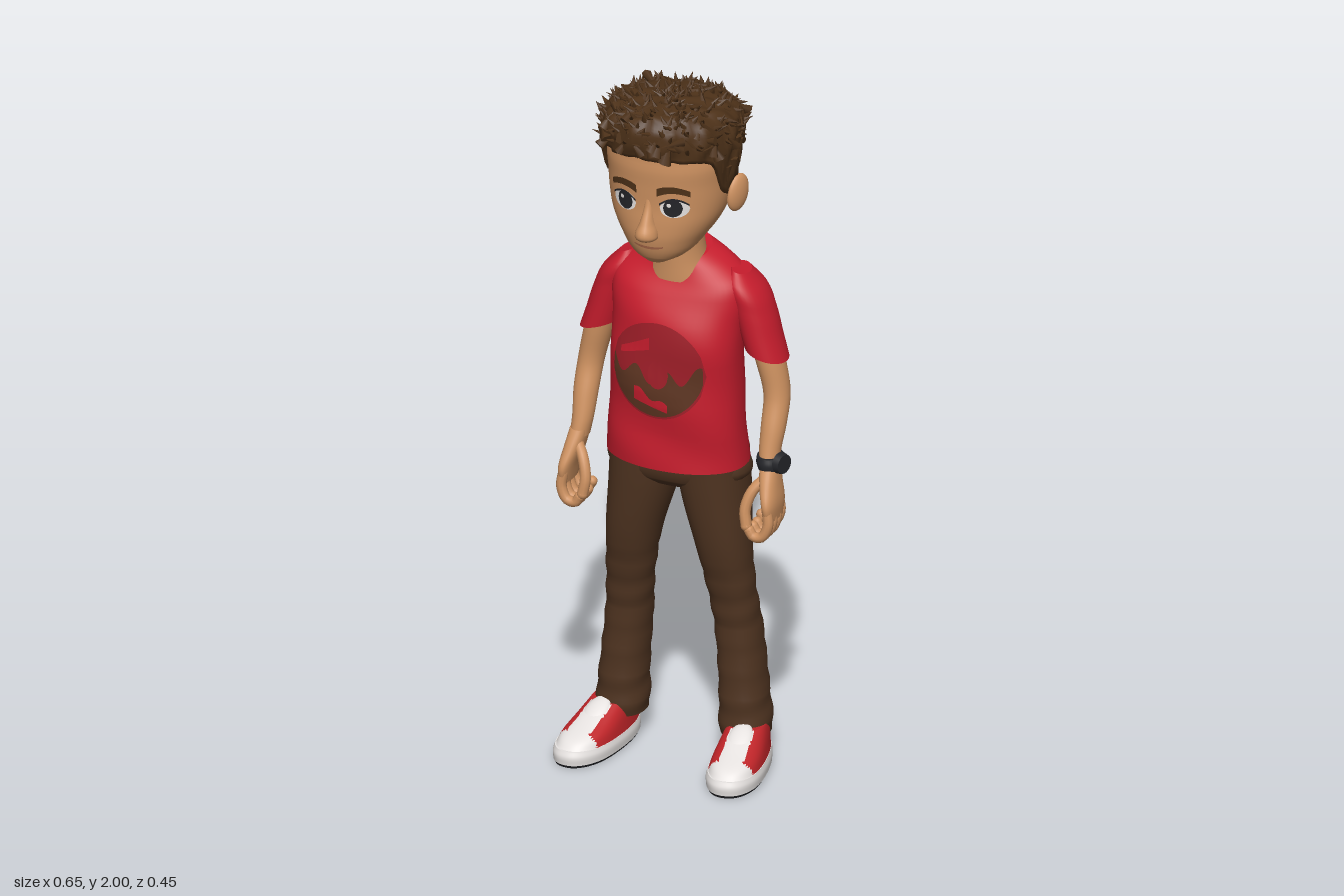
import * as THREE from 'three';
import { mergeGeometries } from 'three/addons/utils/BufferGeometryUtils.js';

const mat = (name, color, side = THREE.FrontSide) => {
  const m = new THREE.MeshStandardMaterial({ color, side });
  m.name = name;
  return m;
};

// smooth sampler over rows of [y, ...values]
function sampler(keys) {
  const size = keys[0].length - 1;
  const it = new THREE.CubicInterpolant(keys.map(k => k[0]), keys.flatMap(k => k.slice(1)), size, new Float32Array(size));
  return y => Array.from(it.evaluate(y));
}

// grid of points, closed in u, with optional end caps
function skinGrid(rows, caps) {
  const n = rows[0].length, pos = rows.flat(2), idx = [];
  for (let r = 0; r < rows.length - 1; r++) for (let i = 0; i < n; i++) {
    const a = r * n + i, b = r * n + (i + 1) % n;
    idx.push(a, b, a + n, b, b + n, a + n);
  }
  if (caps) [rows[0], rows[rows.length - 1]].forEach((ring, end) => {
    const base = pos.length / 3;
    pos.push(...ring.flat(), ...[0, 1, 2].map(k => ring.reduce((s, p) => s + p[k], 0) / n));
    for (let i = 0; i < n; i++) {
      const a = base + i, b = base + (i + 1) % n;
      idx.push(base + n, end ? a : b, end ? b : a);
    }
  });
  const g = new THREE.BufferGeometry();
  g.setAttribute('position', new THREE.Float32BufferAttribute(pos, 3));
  g.setIndex(idx);
  g.computeVertexNormals();
  return g;
}

// stacked oval rings; keys are [y, centre x, centre z, half width, half depth], going up
function loft(keys, { seg = 32, sub = 5, power = 2, mod = p => p } = {}) {
  const at = sampler(keys), rows = [];
  const c = v => Math.sign(v) * Math.abs(v) ** (2 / power);
  for (let k = 0; k < (keys.length - 1) * sub + 1; k++) {
    const i = Math.min(Math.floor(k / sub), keys.length - 2);
    const y = THREE.MathUtils.lerp(keys[i][0], keys[i + 1][0], k / sub - i);
    const [cx, cz, rx, rz] = at(y);
    rows.push(Array.from({ length: seg }, (_, j) => {
      const t = j / seg * Math.PI * 2;
      return mod([cx + rx * c(Math.sin(t)), y, cz + rz * c(Math.cos(t))], cx, cz);
    }));
  }
  return skinGrid(rows, true);
}

// splits a geometry into material groups by triangle centre
function paint(g, pick, count) {
  const p = g.attributes.position, bins = Array.from({ length: count }, () => []), ix = g.index.array;
  for (let i = 0; i < ix.length; i += 3) {
    const t = [ix[i], ix[i + 1], ix[i + 2]];
    const m = f => t.reduce((s, v) => s + f(v), 0) / 3;
    bins[pick(m(v => p.getX(v)), m(v => p.getY(v)), m(v => p.getZ(v)))].push(...t);
  }
  let start = 0;
  bins.forEach((b, i) => { g.addGroup(start, b.length, i); start += b.length; });
  g.setIndex(bins.flat());
  return g;
}

export function createModel() {
  const model = new THREE.Group();
  const skin = mat('skin', 0xcd9160), shirt = mat('shirt red', 0xc41c2c), hair = mat('hair brown', 0x4e3219, THREE.DoubleSide);
  const trousers = mat('trouser brown', 0x4e3320), white = mat('white', 0xe6e2e0), black = mat('black', 0x242529);
  const darkRed = mat('emblem dark red', 0x9c1d27), emblemBrown = mat('emblem brown', 0x5c3421);
  const shoeRed = mat('shoe red', 0xbe2428), lip = mat('lip', 0xa9694a);
  const add = (name, g, m) => {
    const mesh = new THREE.Mesh(g, m);
    mesh.name = name;
    model.add(mesh);
    return mesh;
  };
  let seed = 7;
  const rnd = () => (seed = (seed * 16807) % 2147483647) / 2147483647;

  // thin painted plate between two curves, laid on the front of a mesh
  const ray = new THREE.Raycaster();
  function plate(name, m, target, x0, x1, lo, hi, off, nx = 24, ny = 8) {
    const g = new THREE.PlaneGeometry(1, 1, nx, ny), p = g.attributes.position;
    for (let i = 0; i < p.count; i++) {
      const x = x0 + (x1 - x0) * (p.getX(i) + 0.5), y = THREE.MathUtils.lerp(lo(x), hi(x), p.getY(i) + 0.5);
      ray.set(new THREE.Vector3(x, y, 2), new THREE.Vector3(0, 0, -1));
      const hit = ray.intersectObject(target)[0];
      p.setXYZ(i, x, y, (hit ? hit.point.z : 0) + off);
    }
    g.computeVertexNormals();
    add(name, g, m);
  }
  const oval = (name, m, target, cx, cy, rx, ry, off) => {
    const h = x => ry * Math.sqrt(Math.max(0, 1 - ((x - cx) / rx) ** 2));
    plate(name, m, target, cx - rx, cx + rx, x => cy - h(x), x => cy + h(x), off, 20, 6);
  };

  // head, neck and face
  const head = add('head', loft([[1.525, 0, 0.095, 0.03, 0.03], [1.545, 0, 0.07, 0.072, 0.072], [1.6, 0, 0.036, 0.12, 0.124],
    [1.65, 0, 0.018, 0.15, 0.144], [1.7, 0, 0.006, 0.165, 0.154], [1.76, 0, 0, 0.171, 0.163], [1.83, 0, 0, 0.173, 0.166],
    [1.88, 0, 0, 0.15, 0.15], [1.92, 0, 0, 0.06, 0.06]], { seg: 48, power: 2.15 }), skin);
  add('neck', loft([[1.42, 0, -0.06, 0.09, 0.075], [1.48, 0, -0.055, 0.072, 0.072], [1.56, 0, -0.045, 0.068, 0.068], [1.64, 0, -0.03, 0.08, 0.08]]), skin);
  add('nose', loft([[1.604, 0, 0.155, 0.012, 0.02], [1.615, 0, 0.164, 0.029, 0.034], [1.632, 0, 0.166, 0.03, 0.039],
    [1.66, 0, 0.16, 0.02, 0.03], [1.7, 0, 0.152, 0.013, 0.016], [1.74, 0, 0.15, 0.01, 0.008]], { seg: 20 }), skin);
  plate('mouth', lip, head, -0.042, 0.042, x => 1.578 + x * x * 4, x => 1.586 + x * x * 2, 0.003);
  for (const s of [-1, 1]) {
    oval('eyeWhite', white, head, s * 0.073, 1.708, 0.038, 0.028, 0.002);
    oval('iris', black, head, s * 0.07, 1.709, 0.025, 0.026, 0.004);
    oval('eyeGlint', white, head, s * 0.07 - 0.009, 1.718, 0.006, 0.006, 0.006);
    const arch = x => 1.772 - 7 * (Math.abs(x) - 0.066) ** 2;
    plate('eyelid', black, head, s * 0.073 - 0.038, s * 0.073 + 0.038, x => 1.733 - 12 * (x - s * 0.073) ** 2, x => 1.739 - 12 * (x - s * 0.073) ** 2, 0.006);
    plate('eyebrow', hair, head, s * 0.072 - 0.042, s * 0.072 + 0.042, x => arch(x) - 0.022 + 0.08 * Math.abs(x), x => arch(x) + 0.004, 0.008);
    const ear = new THREE.SphereGeometry(1, 20, 14).scale(0.018, 0.054, 0.038);
    ear.rotateX(-0.2).rotateY(s * -0.35).translate(s * 0.178, 1.7, -0.033);
    add('ear', ear, skin);
  }

  // hair cap, with a lower edge that follows the hairline, ears and nape
  const hairAt = sampler([[1.6, -0.03, 0.11, 0.075], [1.7, -0.01, 0.165, 0.148], [1.8, 0, 0.185, 0.182], [1.86, 0, 0.19, 0.195],
    [1.91, 0, 0.188, 0.203], [1.95, 0.003, 0.163, 0.185], [1.975, 0.01, 0.105, 0.125], [1.985, 0.015, 0.02, 0.02]]);
  const edge = [[0, 1.86], [45, 1.85], [62, 1.83], [72, 1.73], [84, 1.71], [92, 1.755], [106, 1.755], [118, 1.66], [140, 1.615], [181, 1.605]];
  const hairPoint = (t, u, inset = 1) => {
    const deg = Math.abs(t) * 180 / Math.PI, i = Math.max(1, edge.findIndex(e => deg < e[0]));
    const low = THREE.MathUtils.mapLinear(deg, edge[i - 1][0], edge[i][0], edge[i - 1][1], edge[i][1]);
    let y = low + (1.985 - low) * (1 - (1 - u) ** 2);
    const [cz, rx, rz] = hairAt(y);
    const x = rx * Math.sin(t), z = cz + rz * Math.cos(t);
    const lump = 0.02 * Math.sin(11 * t + 3 * Math.sin(y * 22)) + 0.015 * Math.sin(23 * t - y * 40);
    const k = inset + lump * inset;
    const top = THREE.MathUtils.smoothstep(y, 1.88, 1.97);
    y += top * (0.09 * (z - 0.1) + 0.006 * Math.sin(65 * x + 40 * z) * Math.sin(50 * z - 20 * x));
    return [x * k, y, cz + (z - cz) * k];
  };
  const rows = [];
  for (let r = -1; r <= 24; r++) rows.push(Array.from({ length: 96 }, (_, j) =>
    hairPoint((j / 96 - 0.5) * Math.PI * 2, Math.max(0, r) / 24, r < 0 ? 0.84 : 1)));
  add('hairCap', skinGrid(rows, false), hair);

  // pointed locks over the cap: upward on the crown, hanging on the sides
  const locks = [], yAxis = new THREE.Vector3(0, 1, 0);
  for (let i = 0; i < 420; i++) {
    const p = new THREE.Vector3(...hairPoint((rnd() - 0.5) * Math.PI * 2, 0.12 + 0.85 * rnd()));
    const n = new THREE.Vector3(p.x, (p.y - 1.8) * 0.8, p.z).normalize();
    const d = new THREE.Vector3(rnd() - 0.5, rnd() - 0.5, rnd() - 0.5);
    if (p.y > 1.86) d.multiplyScalar(1.5).addScaledVector(n, 0.55).addScaledVector(yAxis, 0.3);
    else d.multiplyScalar(0.3).addScaledVector(n, 0.1).addScaledVector(yAxis, -0.9);
    const g = new THREE.ConeGeometry(0.013 + 0.008 * rnd(), 0.05 + 0.02 * rnd(), 6, 1);
    g.scale(1, 1, 0.7).applyQuaternion(new THREE.Quaternion().setFromUnitVectors(yAxis, d.normalize()));
    g.translate(...p.addScaledVector(n, -0.005).toArray());
    const q = g.attributes.position;
    for (let k = 0; k < q.count; k++) q.setY(k, Math.min(q.getY(k), 1.998));
    locks.push(g);
  }
  add('hairLocks', mergeGeometries(locks), hair);

  // shirt body and chest emblem
  const body = add('shirtBody', loft([[0.89, 0, -0.038, 0.2, 0.128], [1.0, 0, -0.036, 0.191, 0.126], [1.2, 0, -0.036, 0.184, 0.126],
    [1.3, 0, -0.047, 0.187, 0.121], [1.38, 0, -0.066, 0.195, 0.107], [1.43, 0, -0.078, 0.182, 0.092], [1.465, 0, -0.08, 0.135, 0.077],
    [1.495, 0, -0.078, 0.078, 0.064]], { seg: 56, power: 2.3,
    mod: ([x, y, z], cx, cz) => [x, y - 0.3 * THREE.MathUtils.smoothstep(y, 1.38, 1.5) * (z - cz), z + 0.004 * Math.sin(y * 30 + x * 14)] }), shirt);
  const arc = (x, r = 0.14) => Math.sqrt(Math.max(0, r * r - (x + 0.01) ** 2));
  oval('emblemDisc', darkRed, body, -0.01, 1.18, 0.14, 0.137, 0.003);
  plate('emblemLower', emblemBrown, body, -0.142, 0.122, x => 1.185 - arc(x, 0.135),
    x => Math.min(1.185 + arc(x), 1.165 + 1.6 * x * x + 0.022 * Math.sin(x * 70)), 0.005, 48, 10);
  plate('emblemGapUpper', shirt, body, -0.12, -0.03, x => 1.225 + 0.3 * (x + 0.08), x => 1.25 + 0.5 * (x + 0.08), 0.005);
  plate('emblemGapLower', shirt, body, -0.07, 0.03, x => 1.075 - 0.25 * x, x => 1.1 - 0.45 * x + 0.008 * Math.sin(x * 90), 0.007);
  oval('emblemSpot', darkRed, body, 0, 1.175, 0.03, 0.04, 0.007);

  // hips
  add('hips', loft([[0.815, 0, -0.052, 0.1, 0.075], [0.84, 0, -0.052, 0.185, 0.1], [0.92, 0, -0.05, 0.19, 0.105]], { power: 2.4 }), trousers);

  for (const s of [-1, 1]) {
    const side = s > 0 ? 'left' : 'right';
    const limb = (name, keys, m, opt) => add(side + name, loft(keys.map(([y, x, ...r]) => [y, x * s, ...r]), opt), m);

    // leg with soft folds at the knee and hem
    limb('Leg', [[0.08, 0.182, -0.08, 0.068, 0.074], [0.12, 0.181, -0.08, 0.07, 0.078], [0.2, 0.177, -0.08, 0.066, 0.075], [0.4, 0.16, -0.078, 0.063, 0.069],
      [0.5, 0.15, -0.06, 0.065, 0.064], [0.65, 0.131, -0.045, 0.076, 0.08], [0.8, 0.106, -0.052, 0.093, 0.102], [0.92, 0.095, -0.05, 0.098, 0.105]], trousers,
      { sub: 7, power: 2.2, mod: ([x, y, z], cx, cz) => {
        const k = 1 + (y < 0.6 ? 0.03 * Math.sin(y * 75 + z * 20) : 0);
        return [cx + (x - cx) * k, y, cz + (z - cz) * k];
      } });

    // sleeve and bare arm
    limb('Sleeve', [[1.22, 0.243, -0.08, 0.06, 0.064], [1.28, 0.224, -0.083, 0.06, 0.067], [1.35, 0.203, -0.086, 0.06, 0.07],
      [1.41, 0.182, -0.087, 0.053, 0.068], [1.45, 0.165, -0.088, 0.025, 0.04]], shirt,
      { mod: ([x, y, z], cx) => [x, y - 0.3 * s * (x - cx), z] });
    limb('Arm', [[0.9, 0.281, -0.018, 0.026, 0.037], [0.95, 0.276, -0.028, 0.029, 0.034], [1.02, 0.277, -0.05, 0.034, 0.037],
      [1.1, 0.274, -0.078, 0.036, 0.04], [1.2, 0.252, -0.082, 0.041, 0.044], [1.3, 0.225, -0.085, 0.045, 0.047]], skin);

    // hand: palm, four curled fingers and a thumb
    limb('Palm', [[0.775, 0.303, 0.006, 0.015, 0.05], [0.82, 0.3, 0.006, 0.021, 0.058], [0.87, 0.289, -0.005, 0.025, 0.048],
      [0.92, 0.28, -0.02, 0.026, 0.035]], skin, { power: 2.3 });
    const digit = (name, pts, r) => {
      const v = pts.map(([x, y, z]) => new THREE.Vector3(x * s, y, z));
      const tip = new THREE.SphereGeometry(r, 12, 8).translate(...v[v.length - 1].toArray());
      add(side + name, mergeGeometries([new THREE.TubeGeometry(new THREE.CatmullRomCurve3(v), 14, r, 10), tip]), skin);
    };
    for (let f = 0; f < 4; f++) {
      const z = -0.035 + f * 0.027, d = f === 0 ? 0.012 : 0;
      digit('Finger', [[0.3, 0.81, z], [0.305, 0.765 + d, z + 0.004], [0.288, 0.73 + d, z + 0.006], [0.263, 0.727 + d, z + 0.006], [0.25, 0.745 + d, z + 0.006]], 0.0145);
    }
    digit('Thumb', [[0.278, 0.885, 0.005], [0.25, 0.85, 0.03], [0.236, 0.8, 0.046], [0.242, 0.755, 0.052]], 0.0155);

    // shoe: outsole, midsole and two-tone upper, toes turned out
    const place = (name, keys, m, pick) => {
      const g = loft(keys.map(([y, ...r]) => [y, 0, ...r]), { seg: 64, sub: 6, power: 2.3,
        mod: ([x, y, z]) => [x * (0.9 + 0.7 * Math.min(0.12, z)) , y, z] });
      if (pick) paint(g, pick, 2);
      g.rotateY(s * 0.15).translate(s * 0.208, 0, 0);
      add(side + name, g, m);
    };
    place('Outsole', [[0, 0.018, 0.076, 0.17], [0.008, 0.018, 0.08, 0.174]], black);
    place('Midsole', [[0.008, 0.018, 0.081, 0.174], [0.03, 0.018, 0.082, 0.175], [0.046, 0.016, 0.078, 0.17]], white);
    place('ShoeUpper', [[0.044, 0.015, 0.077, 0.168], [0.066, 0.002, 0.073, 0.152], [0.09, -0.03, 0.068, 0.117], [0.12, -0.066, 0.06, 0.078]],
      [shoeRed, white], (x, y, z) => (z > 0.118 || (Math.abs(x) < 0.034 && z > -0.02 && y > 0.076) ? 1 : 0));
    const tongue = new THREE.SphereGeometry(1, 20, 12).scale(0.036, 0.016, 0.06).rotateX(0.5);
    add(side + 'Laces', tongue.rotateY(s * 0.15).translate(s * 0.213, 0.1, 0.03), white);
  }

  // wristwatch on the left arm
  add('watchStrap', loft([[0.908, 0.281, -0.022, 0.033, 0.042], [0.925, 0.279, -0.024, 0.037, 0.045], [0.942, 0.277, -0.026, 0.034, 0.042]]), black);
  add('watchFace', new THREE.CylinderGeometry(0.027, 0.031, 0.018, 24).rotateZ(-Math.PI / 2).rotateY(-0.3).translate(0.317, 0.926, -0.015), black);

  return model;
}
